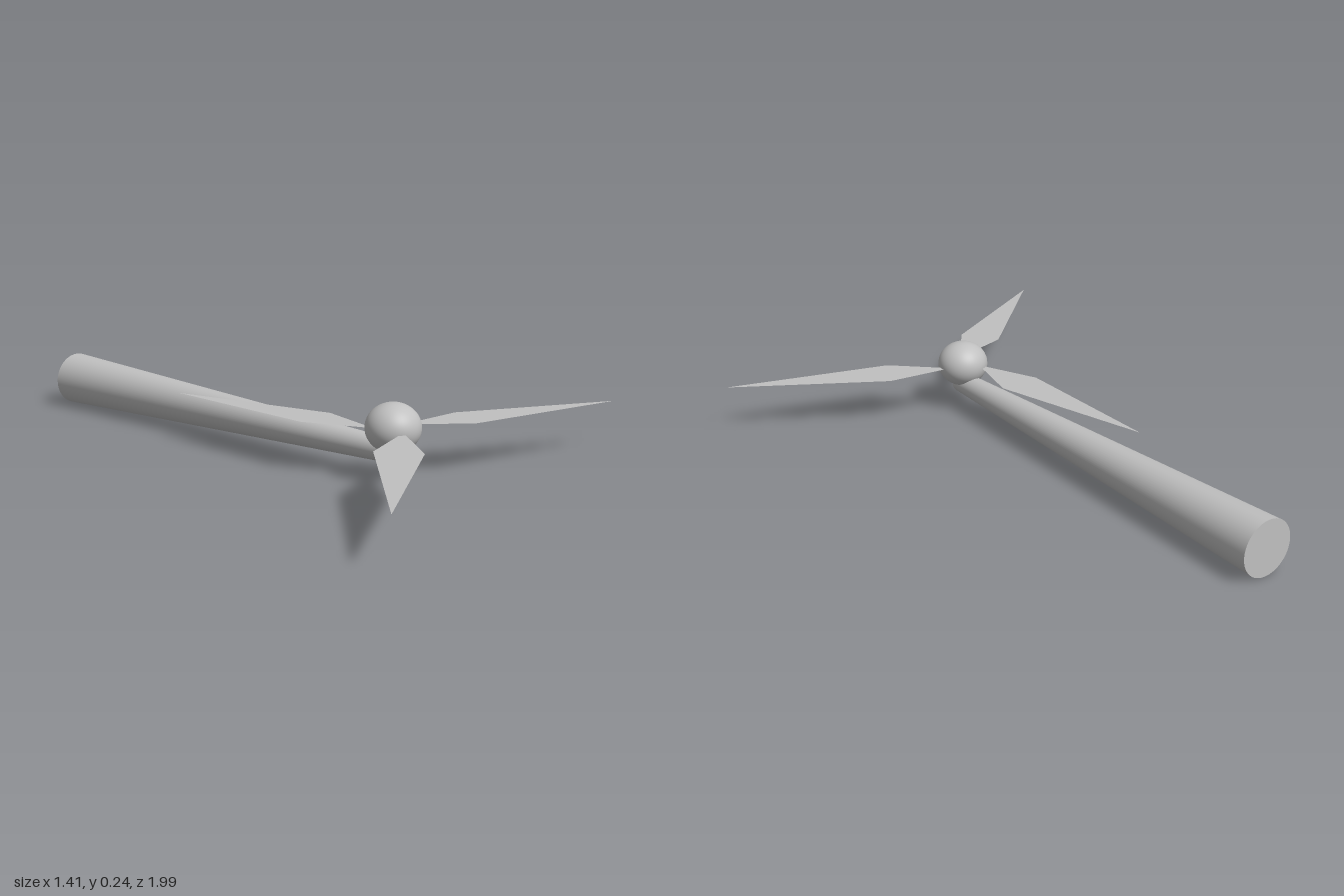
import * as THREE from 'three';

export function createModel() {
  const model = new THREE.Group();
  model.name = 'windTurbine';

  const grey = new THREE.MeshStandardMaterial({ color: 0xc0c0c0, side: THREE.DoubleSide });
  grey.name = 'lightGrey';

  const add = (parent, name, geometry, x, y, z) => {
    const mesh = new THREE.Mesh(geometry, grey);
    mesh.name = name;
    mesh.position.set(x, y, z);
    parent.add(mesh);
    return mesh;
  };

  // Tapered tower lying along z, thin end at the front
  const towerGeo = new THREE.CylinderGeometry(0.036, 0.09, 1.5, 64);
  towerGeo.rotateX(Math.PI / 2);
  add(model, 'tower', towerGeo, -0.06, 0.093, -0.25);

  // Rotor: slightly flattened hub with three flat blades
  const rotor = new THREE.Group();
  rotor.name = 'rotor';
  rotor.position.set(-0.06, 0.167, 0.487);
  model.add(rotor);

  const hubGeo = new THREE.SphereGeometry(0.086, 48, 32);
  hubGeo.scale(1, 0.9, 1);
  add(rotor, 'hub', hubGeo, 0, 0, 0);

  // Kite-shaped blade outline, from root to tip
  const outline = [[0.05, -0.03], [0.273, -0.09], [0.82, 0], [0.259, 0.055]];
  const bladeGeo = new THREE.ShapeGeometry(
    new THREE.Shape(outline.map(([u, v]) => new THREE.Vector2(u, v)))
  );
  bladeGeo.rotateX(Math.PI / 2);

  for (let i = 0; i < 3; i++) {
    const blade = add(rotor, 'blade' + (i + 1), bladeGeo, 0, -0.003, 0);
    blade.rotation.y = -THREE.MathUtils.degToRad(21.8 + i * 120);
  }

  return model;
}
